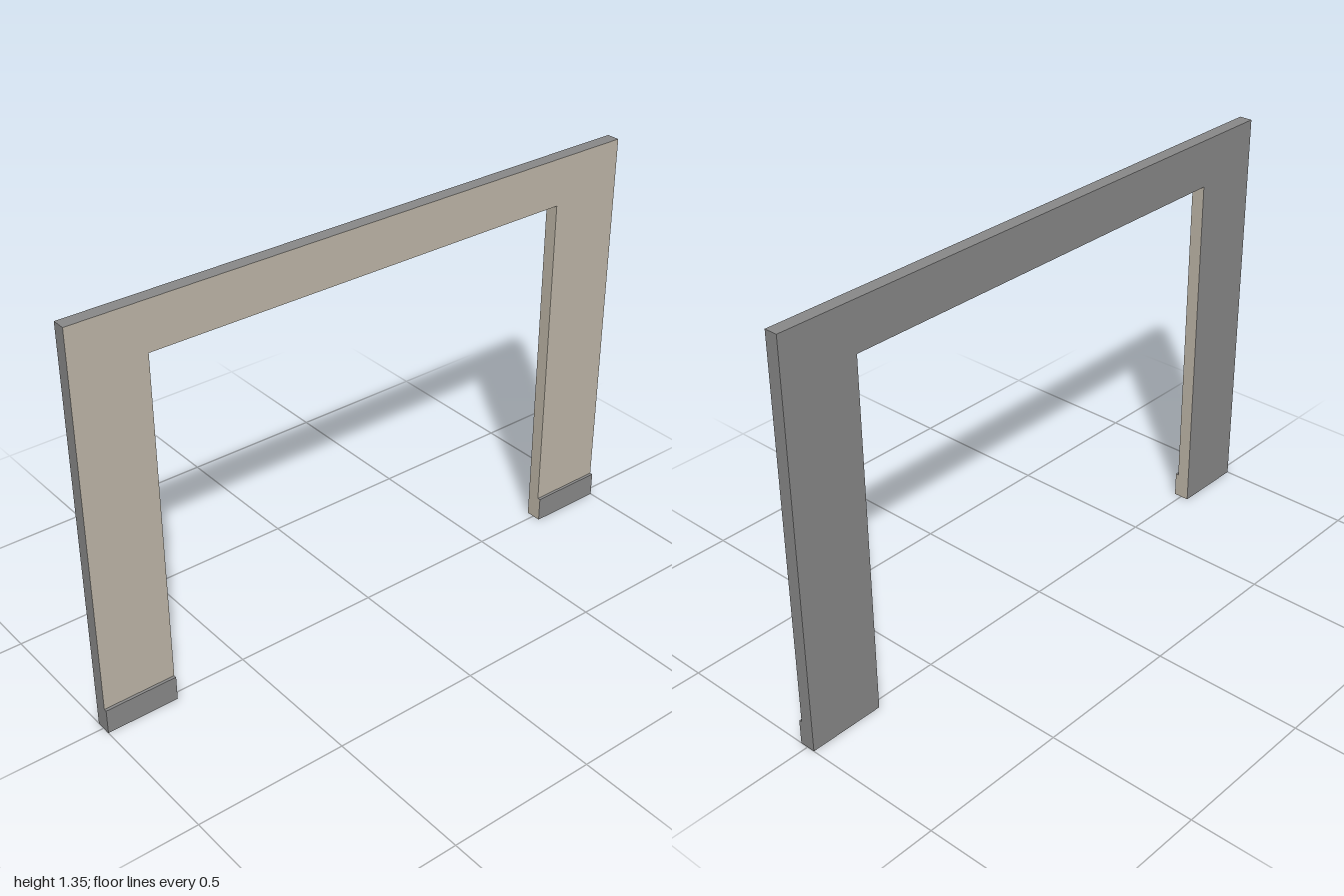
import * as THREE from 'three';

const BACK = -0.027, FRONT = 0.017, FOOT_FRONT = 0.027;
const HEIGHT = 1.346, LINTEL = 1.188, FOOT_H = 0.084;
const INNER_L = -0.758, INNER_R = 0.743;

export function createModel() {
  const beige = new THREE.MeshStandardMaterial({ name: 'beige facing', color: 0xbdb5a7 });
  const grey = new THREE.MeshStandardMaterial({ name: 'grey body', color: 0x888888 });
  const model = new THREE.Group();
  model.name = 'doorSurround';

  // Surround: two jambs and a lintel as one extruded outline
  const outline = new THREE.Shape([
    [-1, 0], [INNER_L, 0], [INNER_L, LINTEL], [INNER_R, LINTEL],
    [INNER_R, 0], [1, 0], [1, HEIGHT], [-1, HEIGHT],
  ].map(([x, y]) => new THREE.Vector2(x, y)));
  const geometry = new THREE.ExtrudeGeometry(outline, { depth: FRONT - BACK, bevelEnabled: false });
  geometry.translate(0, 0, BACK);

  // Beige on the front and on the faces lining the opening, grey elsewhere
  const p = geometry.attributes.position, n = geometry.attributes.normal;
  geometry.clearGroups();
  for (let i = 0; i < p.count; i += 3) {
    const x = (p.getX(i) + p.getX(i + 1) + p.getX(i + 2)) / 3;
    const front = n.getZ(i) > 0.5;
    const reveal = Math.abs(n.getX(i)) > 0.5 && Math.abs(x) < 0.9;
    const soffit = n.getY(i) < -0.5 && p.getY(i) > 0.5;
    geometry.addGroup(i, 3, front || reveal || soffit ? 0 : 1);
  }
  const surround = new THREE.Mesh(geometry, [beige, grey]);
  surround.name = 'surround';
  model.add(surround);

  // Plinth blocks standing proud of the foot of each jamb
  const addPlinth = (name, x0, x1, innerFace) => {
    const materials = Array(6).fill(grey);
    materials[innerFace] = beige;
    const plinth = new THREE.Mesh(
      new THREE.BoxGeometry(x1 - x0, FOOT_H, FOOT_FRONT - FRONT), materials);
    plinth.position.set((x0 + x1) / 2, FOOT_H / 2, (FRONT + FOOT_FRONT) / 2);
    plinth.name = name;
    model.add(plinth);
  };
  addPlinth('rightPlinth', -1, INNER_L, 0);
  addPlinth('leftPlinth', INNER_R, 1, 1);

  return model;
}
